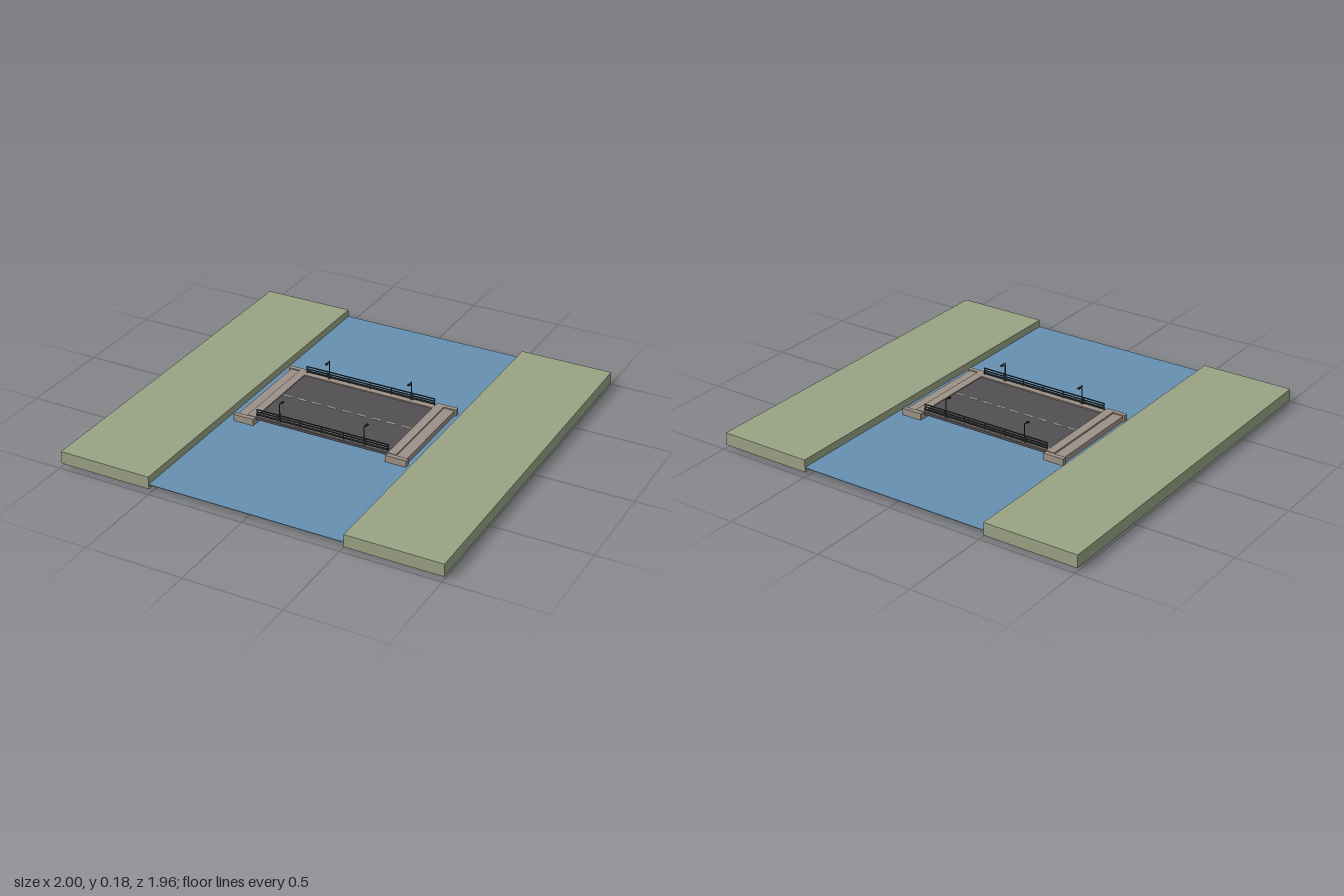
import * as THREE from 'three';

const mat = (name, color) => {
  const m = new THREE.MeshStandardMaterial({ color });
  m.name = name;
  return m;
};

export function createModel() {
  const grass = mat('grass', 0x9aa384);
  const water = mat('water', 0x6690b0);
  const asphalt = mat('asphalt', 0x524f54);
  const concrete = mat('concrete', 0x9c9187);
  const steel = mat('steel', 0x2e3535);
  const paint = mat('lane paint', 0xb9c0a2);
  const model = new THREE.Group();
  model.name = 'riverBridge';

  // Box given by its minimum and maximum on each axis
  const box = (name, m, x0, x1, y0, y1, z0, z1, parent = model) => {
    const mesh = new THREE.Mesh(new THREE.BoxGeometry(x1 - x0, y1 - y0, z1 - z0), m);
    mesh.name = name;
    mesh.position.set((x0 + x1) / 2, (y0 + y1) / 2, (z0 + z1) / 2);
    parent.add(mesh);
    return mesh;
  };

  // River
  box('riverWater', water, -0.51, 0.51, 0.038, 0.041, -0.98, 0.98);

  // Banks and abutments, one at each end
  for (const s of [-1, 1]) {
    const side = new THREE.Group();
    side.name = s > 0 ? 'leftEnd' : 'rightEnd';
    if (s < 0) side.rotation.y = Math.PI;
    model.add(side);
    box('bank', grass, 0.51, 1, 0.015, 0.08, -0.98, 0.98, side);
    box('footing', concrete, 0.46, 0.51, 0, 0.035, -0.26, 0.26, side);
    box('abutmentSeat', concrete, 0.36, 0.405, 0.03, 0.079, -0.262, 0.262, side);
    box('approachSlab', concrete, 0.405, 0.46, 0.03, 0.07, -0.262, 0.262, side);
    for (const z of [-1, 1]) {
      const c = z * 0.274;
      box('wingWall', concrete, 0.36, 0.47, 0.028, 0.076, c - 0.012, c + 0.012, side);
    }
  }

  // Deck and road
  box('deckSlab', concrete, -0.36, 0.36, 0.06, 0.066, -0.255, 0.255);
  box('road', asphalt, -0.36, 0.36, 0.066, 0.074, -0.225, 0.225);
  for (let i = 0; i < 9; i++) {
    const x = -0.33 + i * 0.0825;
    box('laneDash', paint, x - 0.025, x + 0.025, 0.074, 0.0755, -0.004, 0.004);
  }

  // Pavements, railings and lamps on both edges
  for (const s of [-1, 1]) {
    const edge = new THREE.Group();
    edge.name = s > 0 ? 'frontEdge' : 'backEdge';
    if (s < 0) edge.rotation.y = Math.PI;
    model.add(edge);
    box('pavement', concrete, -0.36, 0.36, 0.066, 0.08, 0.224, 0.256, edge);
    box('edgeGirder', asphalt, -0.36, 0.36, 0.062, 0.075, 0.256, 0.259, edge);
    box('kerbRail', steel, -0.36, 0.36, 0.086, 0.092, 0.246, 0.256, edge);
    for (const y of [0.102, 0.115])
      box('rail', steel, -0.36, 0.36, y - 0.002, y + 0.002, 0.248, 0.254, edge);
    for (let i = 0; i < 7; i++) {
      const x = -0.358 + i * 0.716 / 6;
      box('railPost', steel, x - 0.002, x + 0.002, 0.08, 0.115, 0.249, 0.253, edge);
    }
    for (const x of [-0.23, 0.23]) {
      const lamp = new THREE.Group();
      lamp.name = 'streetLamp';
      lamp.position.set(x, 0, 0.251);
      edge.add(lamp);
      const base = new THREE.Mesh(new THREE.CylinderGeometry(0.005, 0.007, 0.016, 8), steel);
      base.name = 'lampBase';
      base.position.y = 0.088;
      const pole = new THREE.Mesh(new THREE.CylinderGeometry(0.0025, 0.0035, 0.098, 8), steel);
      pole.name = 'lampPole';
      pole.position.y = 0.129;
      lamp.add(base, pole);
      box('lampArm', steel, -0.002, 0.002, 0.175, 0.179, -0.03, 0.002, lamp);
      box('lampHead', steel, -0.006, 0.006, 0.171, 0.177, -0.036, -0.02, lamp);
    }
  }
  return model;
}
